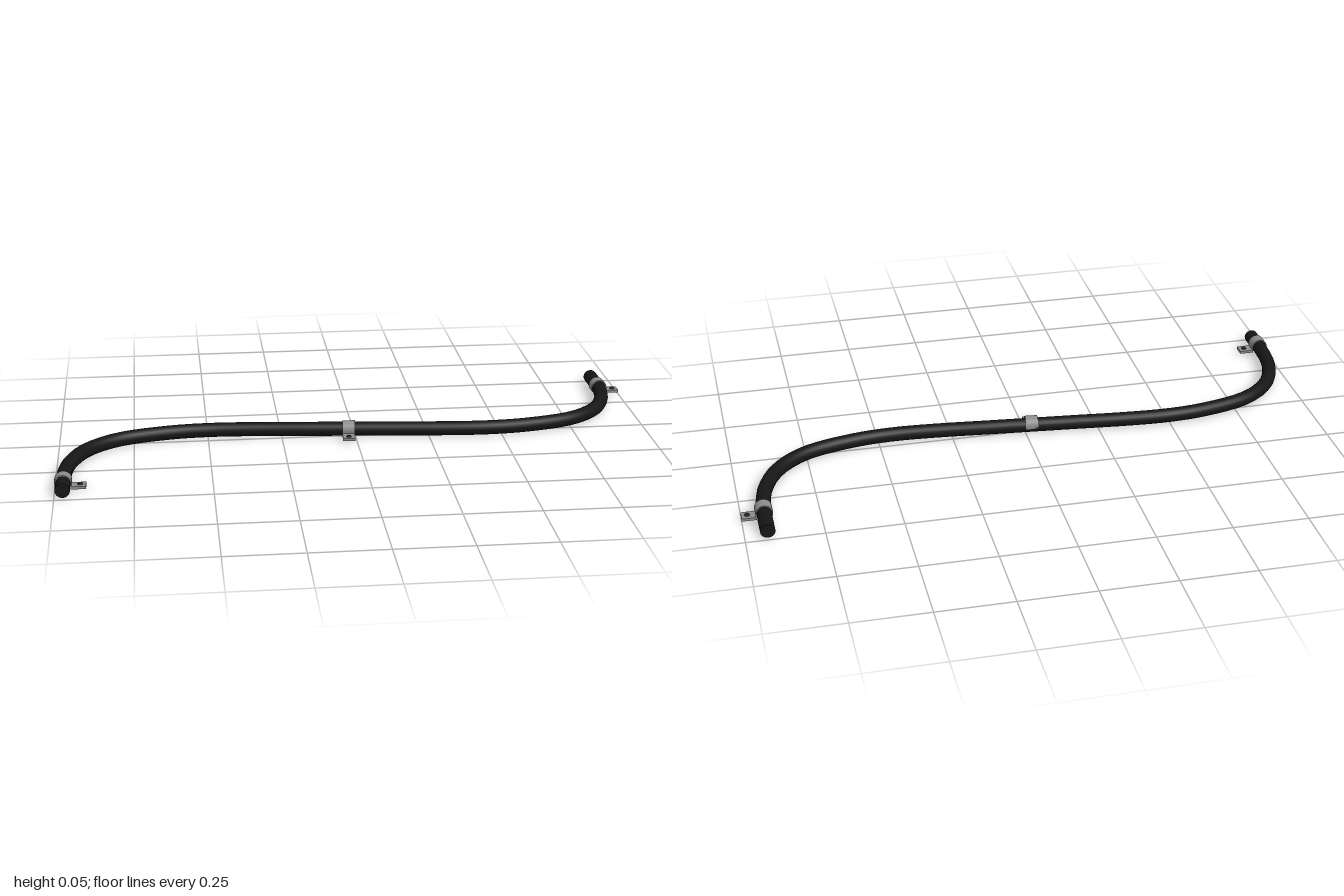
import * as THREE from 'three';

const CABLE_R = 0.024;
const black = new THREE.MeshStandardMaterial({ color: 0x161616 });
const steel = new THREE.MeshStandardMaterial({ color: 0x8c8c8c });
const dark = new THREE.MeshStandardMaterial({ color: 0x2a2a2a });

// S-shaped cable: one half is drawn, the other is its point mirror
function createCable() {
  const cx = -0.0225, cz = -0.003;
  const half = [
    [-0.973, 0.481], [-0.973, 0.39], [-0.968, 0.295], [-0.95, 0.21], [-0.9, 0.108],
    [-0.8, 0.022], [-0.63, -0.029], [-0.495, -0.041], [-0.345, -0.034], [-0.18, -0.018],
  ];
  const other = half.map(([x, z]) => [2 * cx - x, 2 * cz - z]).reverse();
  const points = [...half, [cx, cz], ...other].map(([x, z]) => new THREE.Vector3(x, CABLE_R, z));
  const curve = new THREE.CatmullRomCurve3(points);

  const cable = new THREE.Group();
  cable.name = 'cable';
  const sheath = new THREE.Mesh(new THREE.TubeGeometry(curve, 64, CABLE_R, 20), black);
  sheath.name = 'cableSheath';
  cable.add(sheath);

  // End caps
  for (const [t, sign] of [[0, -1], [1, 1]]) {
    const cap = new THREE.Mesh(new THREE.CircleGeometry(CABLE_R, 20), black);
    cap.name = 'cableEnd';
    cap.position.copy(curve.getPointAt(t));
    cap.lookAt(cap.position.clone().addScaledVector(curve.getTangentAt(t), sign));
    cable.add(cap);
  }
  return cable;
}

// Clip: a strap hooked over the cable with a screwed-down foot along local +x
function createClip(name, x, z, angle) {
  const clip = new THREE.Group();
  clip.name = name;
  const outer = 0.028, inner = 0.0242, cy = 0.026, width = 0.042;
  const start = Math.PI * 1.17, end = -0.35;

  const profile = new THREE.Shape();
  profile.absarc(0, cy, outer, start, end, true);
  profile.lineTo(0.034, 0.015);
  profile.lineTo(0.072, 0.015);
  profile.lineTo(0.072, 0.006);
  profile.lineTo(0.024, 0.006);
  profile.absarc(0, cy, inner, end, start, false);
  profile.closePath();
  const geometry = new THREE.ExtrudeGeometry(profile, { depth: width, bevelEnabled: false, curveSegments: 20 });
  geometry.translate(0, 0, -width / 2);
  const strap = new THREE.Mesh(geometry, steel);
  strap.name = 'clipStrap';

  // Screw head on the foot
  const screw = new THREE.Mesh(new THREE.CylinderGeometry(0.007, 0.009, 0.005, 16), dark);
  screw.name = 'clipScrew';
  screw.position.set(0.053, 0.0172, 0);

  clip.add(strap, screw);
  clip.position.set(x, 0, z);
  clip.rotation.y = angle;
  return clip;
}

export function createModel() {
  const model = new THREE.Group();
  model.name = 'clippedCable';
  model.add(
    createCable(),
    createClip('rightClip', -0.973, 0.405, 0),
    createClip('middleClip', -0.022, 0.001, -Math.PI / 2 - 0.09),
    createClip('leftClip', 0.928, -0.363, 0),
  );
  return model;
}
